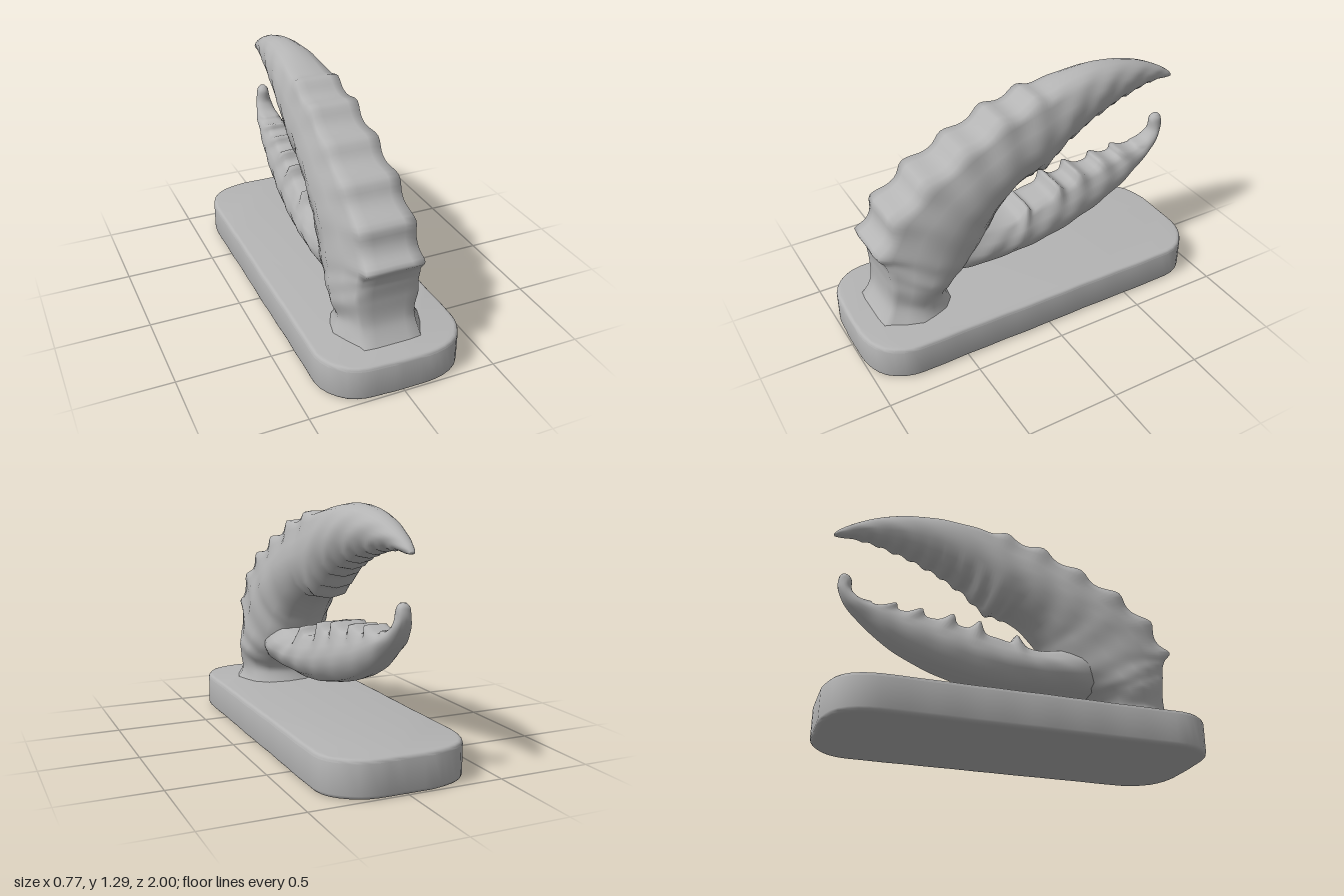
import * as THREE from 'three';
import { toCreasedNormals } from 'three/addons/utils/BufferGeometryUtils.js';

const stone = new THREE.MeshStandardMaterial({ color: 0xb4b4b4 });
stone.name = 'grey stone';

// Half cross-sections [x / half width, height from inner edge 0 to outer edge 1]
const PLATED = [[0, 1], [0.38, 1], [0.66, 0.985], [0.71, 0.9], [0.86, 0.74], [1, 0.54], [0.93, 0.36], [0.8, 0.18], [0.5, 0.04], [0, 0]];
const ROUND = [[0, 1], [0.34, 0.97], [0.6, 0.9], [0.8, 0.8], [0.94, 0.66], [1, 0.5], [0.95, 0.34], [0.8, 0.16], [0.5, 0.04], [0, 0]];

// Catmull-Rom value of one column of the key table at u
function sample(keys, col, u) {
  const i = Math.min(Math.floor(u), keys.length - 2), t = u - i;
  const at = (n) => keys[Math.max(0, Math.min(keys.length - 1, n))][col];
  const [a, b, c, d] = [at(i - 1), at(i), at(i + 1), at(i + 2)];
  return b + 0.5 * t * (c - a + t * (2 * a - 5 * b + 4 * c - d + t * (3 * (b - c) + d - a)));
}

// Sum of rounded knobs: peaks are [u, height, width]
const knobs = (peaks, u) => peaks.reduce((s, [p, h, w]) => s + h * Math.exp(-(((u - p) / w) ** 2)), 0);

// Loft through keys [outer z, outer y, inner z, inner y, half width, roundness]
function loft(keys, outerPeaks, innerPeaks, steps = 9) {
  const rings = (keys.length - 1) * steps, n = 18;
  const pos = [], index = [];
  for (let i = 0; i <= rings; i++) {
    const u = i / steps;
    const [oz, oy, iz, iy, w, k] = [0, 1, 2, 3, 4, 5].map((c) => sample(keys, c, u));
    const len = Math.hypot(oz - iz, oy - iy) || 1;
    const dz = (oz - iz) / len, dy = (oy - iy) / len;
    const top = knobs(outerPeaks, u), low = knobs(innerPeaks, u);
    for (let j = 0; j < n; j++) {
      const h = j < 10 ? j : n - j, side = j < 10 ? 1 : -1;
      const f = THREE.MathUtils.lerp(PLATED[h][0], ROUND[h][0], k);
      const t = THREE.MathUtils.lerp(PLATED[h][1], ROUND[h][1], k);
      const push = top * ([0.85, 0.95, 1, 0.35][h] || 0) - low * ({ 9: 1, 8: 0.9, 7: 0.3 }[h] || 0);
      const lump = 0.004 * Math.sin(u * 5.1 + h * 1.3 + side) * Math.min(1, w * 8);
      const x = f * (w + lump + (h < 4 ? top * 0.25 : 0));
      const s = i === rings ? len / 2 : t * len + push;
      pos.push(i === rings ? 0 : side * x, iy + dy * s, iz + dz * s);
      if (i < rings) {
        const a = i * n + j, b = i * n + ((j + 1) % n);
        index.push(a, b, a + n, b, b + n, a + n);
      }
    }
  }
  const g = new THREE.BufferGeometry();
  g.setAttribute('position', new THREE.Float32BufferAttribute(pos, 3));
  g.setIndex(index);
  g.computeVertexNormals();
  return g;
}

function makeBase() {
  const s = new THREE.Shape();
  s.moveTo(0.365, -0.76);
  s.lineTo(0.365, 0.76);
  s.bezierCurveTo(0.365, 0.9, 0.27, 0.975, 0.12, 0.98);
  s.lineTo(-0.12, 0.98);
  s.bezierCurveTo(-0.27, 0.975, -0.365, 0.9, -0.365, 0.76);
  s.lineTo(-0.365, -0.76);
  s.bezierCurveTo(-0.365, -0.9, -0.27, -0.975, -0.12, -0.98);
  s.lineTo(0.12, -0.98);
  s.bezierCurveTo(0.27, -0.975, 0.365, -0.9, 0.365, -0.76);
  // Slightly uneven, hand-cut outline
  const pts = s.getSpacedPoints(110).slice(0, -1).map((p, i) => {
    const m = 1 + 0.006 * Math.sin(i * 0.8) * Math.sin(i * 0.37);
    return new THREE.Vector2(p.x * m, p.y * Math.min(m, 1));
  });
  const g = new THREE.ExtrudeGeometry(new THREE.Shape(pts), {
    depth: 0.15, bevelEnabled: true, bevelThickness: 0.02, bevelSize: 0.02, bevelSegments: 3,
  });
  g.rotateX(-Math.PI / 2).translate(0, 0.02, 0);
  return toCreasedNormals(g, 0.7);
}

export function createModel() {
  const group = new THREE.Group();
  group.name = 'claw on plinth';
  const add = (name, geometry) => {
    const mesh = new THREE.Mesh(geometry, stone);
    mesh.name = name;
    group.add(mesh);
  };

  add('plinth', makeBase());

  // Stem, palm and upper finger in one sweep
  add('palmAndUpperFinger', loft([
    [0.89, 0.16, 0.43, 0.16, 0.245, 0],
    [0.82, 0.28, 0.48, 0.25, 0.21, 0],
    [0.81, 0.41, 0.44, 0.32, 0.235, 0],
    [0.82, 0.51, 0.36, 0.37, 0.232, 0],
    [0.83, 0.61, 0.26, 0.45, 0.222, 0],
    [0.73, 0.78, 0.2, 0.55, 0.215, 0],
    [0.55, 0.92, 0.16, 0.62, 0.21, 0],
    [0.34, 1.03, 0.08, 0.71, 0.2, 0],
    [0.13, 1.13, -0.02, 0.77, 0.185, 0],
    [-0.07, 1.195, -0.13, 0.8, 0.173, 0.1],
    [-0.25, 1.255, -0.26, 0.9, 0.157, 0.5],
    [-0.42, 1.285, -0.4, 0.98, 0.135, 0.9],
    [-0.58, 1.28, -0.55, 1.04, 0.11, 1],
    [-0.74, 1.245, -0.7, 1.08, 0.082, 1],
    [-0.87, 1.19, -0.84, 1.1, 0.052, 1],
    [-0.96, 1.135, -0.95, 1.09, 0.027, 1],
    [-0.995, 1.1, -0.985, 1.09, 0.012, 1],
  ], [
    [4, 0.045, 0.25], [5, 0.045, 0.27], [6, 0.045, 0.28],
    [7, 0.04, 0.28], [8, 0.04, 0.27], [9, 0.035, 0.27],
  ], [
    [8.3, 0.015, 0.2], [9.05, 0.03, 0.25], [9.7, 0.03, 0.2], [10.4, 0.025, 0.2], [11, 0.025, 0.2],
    [11.6, 0.024, 0.18], [12.2, 0.022, 0.18], [12.8, 0.02, 0.18], [13.4, 0.016, 0.17], [14, 0.012, 0.17],
  ]));

  // Lower finger, rooted inside the palm, with toothed upper edge
  add('lowerFinger', loft([
    [0.5, 0.62, 0.56, 0.4, 0.15, 0.6],
    [0.25, 0.57, 0.4, 0.335, 0.185, 0.5],
    [0.1, 0.55, 0.2, 0.325, 0.18, 0.4],
    [-0.02, 0.57, 0.02, 0.32, 0.17, 0.3],
    [-0.15, 0.6, -0.17, 0.335, 0.157, 0.3],
    [-0.27, 0.63, -0.35, 0.375, 0.143, 0.3],
    [-0.4, 0.655, -0.52, 0.43, 0.125, 0.3],
    [-0.55, 0.675, -0.68, 0.51, 0.105, 0.4],
    [-0.68, 0.7, -0.8, 0.6, 0.085, 0.5],
    [-0.8, 0.715, -0.895, 0.69, 0.065, 0.8],
    [-0.87, 0.77, -0.945, 0.78, 0.043, 1],
    [-0.88, 0.84, -0.947, 0.845, 0.032, 1],
    [-0.9, 0.868, -0.93, 0.87, 0.014, 1],
  ], [
    [2.85, 0.055, 0.22], [4.6, 0.06, 0.25], [5.8, 0.055, 0.24],
    [6.95, 0.05, 0.24], [8, 0.045, 0.24], [9, 0.025, 0.25],
  ], []));

  return group;
}
